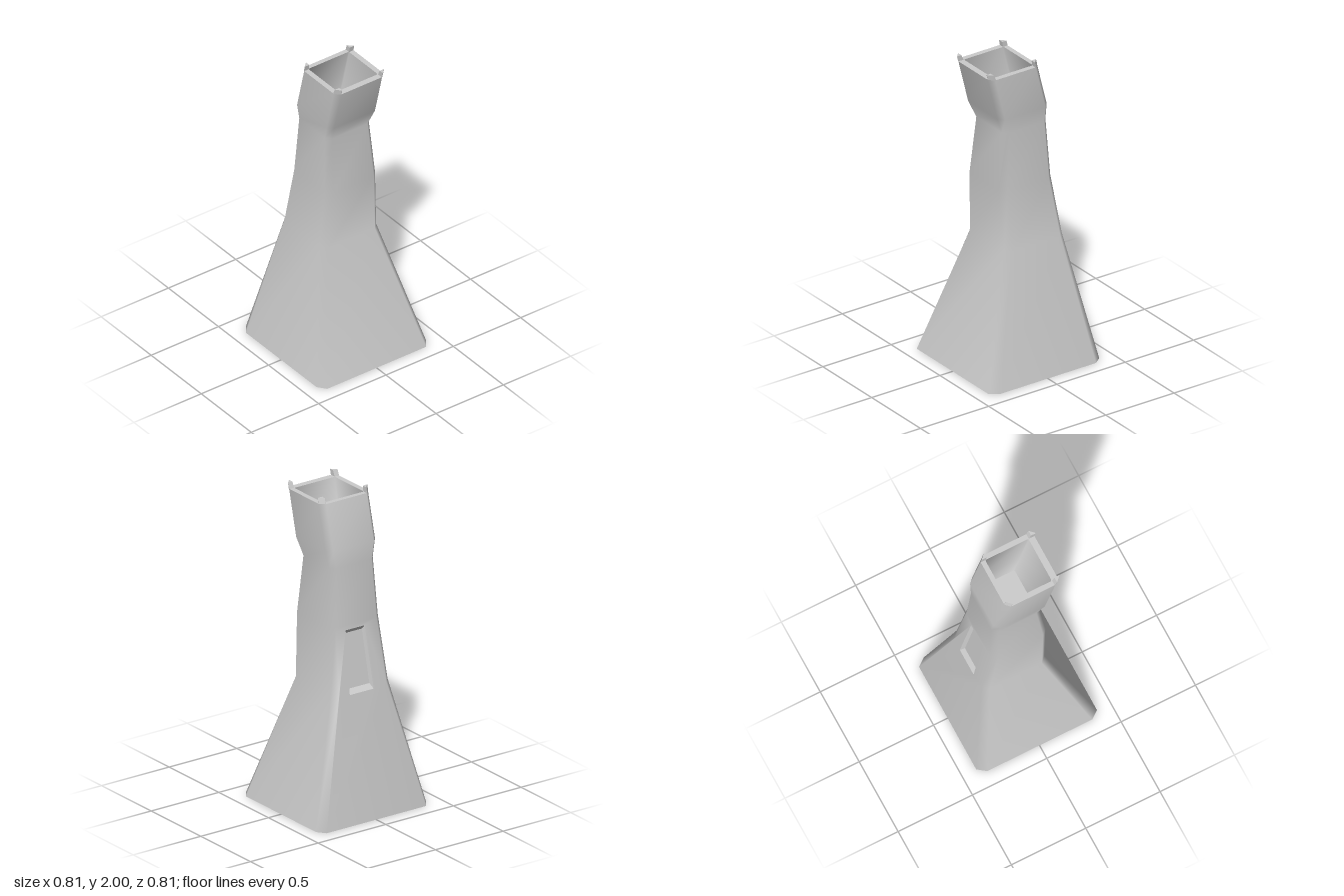
import * as THREE from 'three';
import { mergeGeometries, mergeVertices, toCreasedNormals } from 'three/addons/utils/BufferGeometryUtils.js';

const material = new THREE.MeshStandardMaterial({ color: 0xcccccc, side: THREE.DoubleSide });

// Skin a list of point rings; optionally cap the last one or leave out some quads
function loft(rings, cap = false, skip = () => false) {
  const n = rings[0].length;
  const index = [];
  for (let r = 0; r < rings.length - 1; r++) {
    for (let i = 0; i < n; i++) {
      if (skip(r, i)) continue;
      const a = r * n + i, b = r * n + (i + 1) % n;
      index.push(a, b, b + n, a, b + n, a + n);
    }
  }
  const last = (rings.length - 1) * n;
  if (cap) for (let i = 1; i < n - 1; i++) index.push(last, last + i, last + i + 1);
  const geo = new THREE.BufferGeometry();
  geo.setAttribute('position', new THREE.Float32BufferAttribute(rings.flat(2), 3));
  geo.setIndex(index);
  return geo;
}

// Rectangle with chamfered corners at height y, from zb (back) to zf (front)
function ring(y, hx, zf, zb, cx, cz = cx) {
  return [
    [cx - hx, y, zf], [hx - cx, y, zf], [hx, y, zf - cz], [hx, y, zb + cz],
    [hx - cx, y, zb], [cx - hx, y, zb], [-hx, y, zb + cz], [-hx, y, zf - cz],
  ];
}

const flat = (geo) => toCreasedNormals(geo, 0.5);
const backZ = (y) => -0.405 + (0.205 * y) / 1.2; // lower back wall slope

export function createModel() {
  const group = new THREE.Group();
  const add = (name, geo) => {
    const mesh = new THREE.Mesh(geo, material);
    mesh.name = name;
    group.add(mesh);
  };

  // Outer wall sections from the base to the rim
  const sections = [
    ring(0, 0.407, 0.407, backZ(0), 0.04, 0.053),
    ring(0.8, 0.21, 0.155, backZ(0.8), 0.036),
    ring(1.2, 0.187, 0.175, backZ(1.2), 0.036),
    ring(1.57, 0.162, 0.14, -0.18, 0.032),
    ring(1.68, 0.183, 0.186, -0.175, 0.033),
    ring(1.965, 0.183, 0.257, -0.104, 0.033),
  ];
  const walls = loft(sections, false, (r, i) => r < 2 && i === 4);

  // Window corners on the lower back wall
  const window = [[0.098, 0.78], [-0.079, 0.78], [-0.061, 1.17], [0.08, 1.17]];

  // Lower back wall with the window cut out, laid onto its slope
  const low = sections.slice(0, 3).map((s) => [s[4][0], s[4][1]]);
  const outline = [...low, ...low.map(([x, y]) => [-x, y]).reverse()];
  const toPoints = (list) => list.map(([x, y]) => new THREE.Vector2(-x, y));
  const shape = new THREE.Shape(toPoints(outline));
  shape.holes.push(new THREE.Path(toPoints(window)));
  const panel = new THREE.ShapeGeometry(shape);
  const p = panel.attributes.position;
  for (let i = 0; i < p.count; i++) p.setXYZ(i, -p.getX(i), p.getY(i), backZ(p.getY(i)));
  panel.deleteAttribute('uv');
  panel.deleteAttribute('normal');

  const shell = mergeVertices(mergeGeometries([walls, panel]), 1e-4);
  shell.computeVertexNormals();
  add('towerWalls', shell);

  // Recessed window with sloping reveals
  const inner = [[0.084, 0.81], [-0.066, 0.81], [-0.052, 1.145], [0.07, 1.145]];
  add('windowRecess', flat(loft([
    window.map(([x, y]) => [x, y, backZ(y)]),
    inner.map(([x, y]) => [x, y, backZ(y) + 0.022]),
  ], true)));

  // Flat rim and the pocket sunk into the top
  const mouth = ring(1.965, 0.15, 0.217, -0.074, 0.006);
  add('rim', flat(loft([sections[5], mouth])));
  add('topPocket', toCreasedNormals(loft([
    mouth,
    ring(1.7, 0.15, 0.157, -0.14, 0.006),
    ring(1.59, 0.135, 0.115, -0.148, 0.006),
  ], true), 1));

  // Four small corner posts standing on the rim
  for (const sx of [-1, 1]) {
    for (const front of [true, false]) {
      const level = (y, zi, zo) => {
        const d = Math.sign(zo - zi);
        const pts = [
          [0.15, zi], [0.183, zi], [0.183, zo - d * 0.03], [0.153, zo], [0.15, zo],
        ].map(([x, z]) => [sx * x, y, z]);
        return (sx > 0) === front ? pts.reverse() : pts;
      };
      const rings = front
        ? [level(1.965, 0.219, 0.257), level(2, 0.235, 0.266)]
        : [level(1.965, -0.07, -0.104), level(2, -0.064, -0.095)];
      add('cornerPost', flat(loft(rings, true)));
    }
  }
  return group;
}
